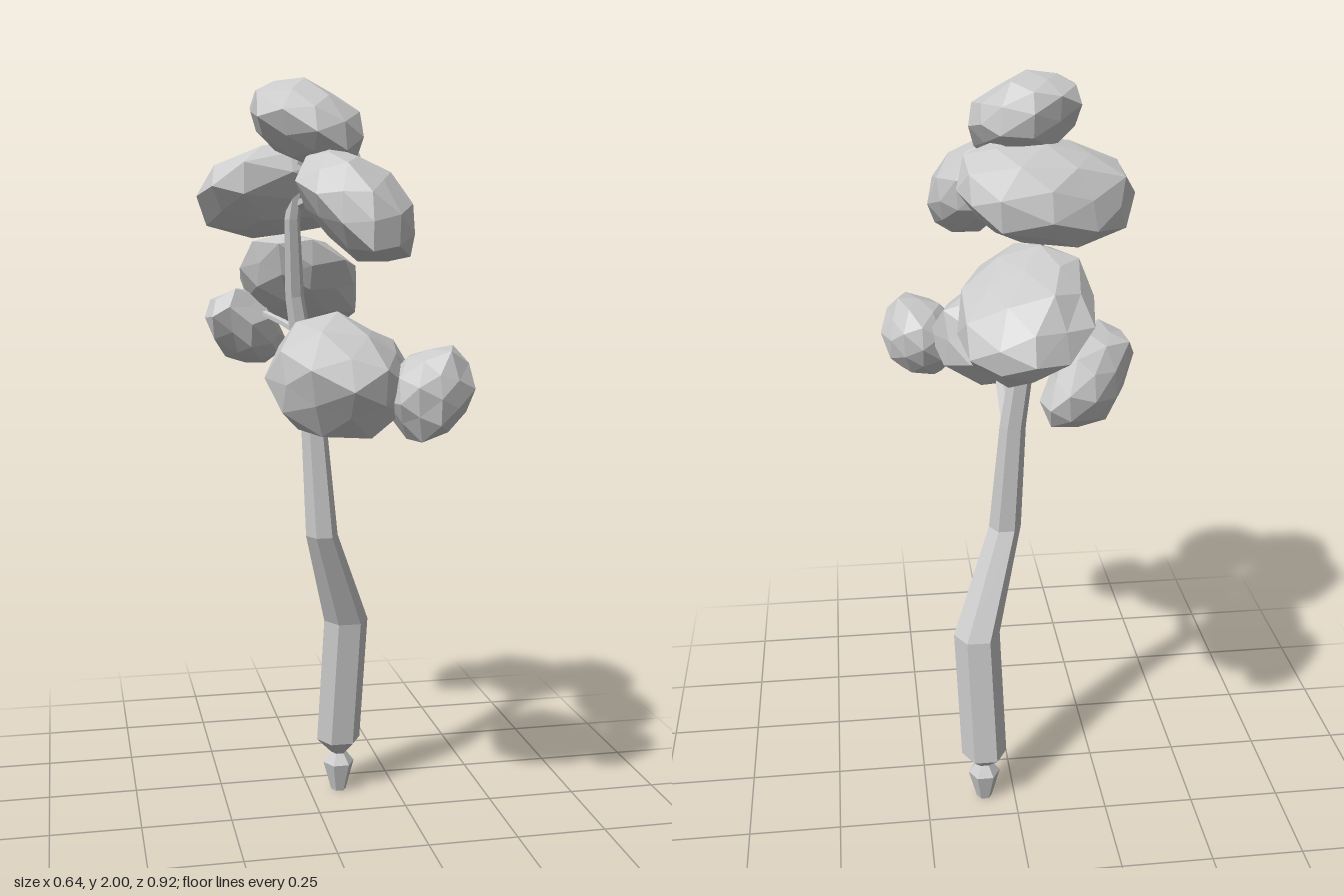
import * as THREE from 'three';

const material = new THREE.MeshStandardMaterial({ color: 0xcccccc, flatShading: true });

// Repeatable roughness that depends only on the corner's direction
function rough(x, y, z, seed) {
  const s = Math.sin(x * 12.9 + y * 78.2 + z * 37.7 + seed * 4.1) * 437.58;
  return 0.88 + 0.2 * (s - Math.floor(s));
}

// Faceted leaf clump, sheared and fitted into the box min..max
function clump(name, seed, min, max, { yx = 0, yz = 0, zx = 0 } = {}) {
  const geo = new THREE.IcosahedronGeometry(1, 1);
  const p = geo.attributes.position;
  for (let i = 0; i < p.count; i++) {
    const v = [p.getX(i), p.getY(i), p.getZ(i)].map((c) => Math.round(c * 1000) / 1000);
    const r = rough(...v, seed);
    const [x, y, z] = v.map((c) => c * r);
    p.setXYZ(i, x, y + yx * x + yz * z, z + zx * x);
  }
  geo.computeBoundingBox();
  const b = geo.boundingBox;
  const lo = new THREE.Vector3(...min), size = new THREE.Vector3(...max).sub(lo);
  const scale = size.divide(b.getSize(new THREE.Vector3()));
  geo.translate(-b.min.x, -b.min.y, -b.min.z);
  geo.scale(scale.x, scale.y, scale.z);
  geo.translate(lo.x, lo.y, lo.z);
  geo.computeVertexNormals();
  const mesh = new THREE.Mesh(geo, material);
  mesh.name = name;
  return mesh;
}

// Limb skinned over rings [x, y, z, radius] facing one axis, closed at both ends
function limb(name, rings, sides, axis = 'y') {
  const pos = [], index = [];
  for (const [x, y, z, r] of rings) {
    for (let i = 0; i < sides; i++) {
      const a = (i / sides) * Math.PI * 2;
      const c = r * Math.cos(a), s = r * Math.sin(a);
      if (axis === 'y') pos.push(x + c, y, z - s);
      else pos.push(x + c, y + s, z);
    }
  }
  for (let k = 0; k < rings.length - 1; k++) {
    for (let i = 0; i < sides; i++) {
      const a = k * sides + i, b = k * sides + ((i + 1) % sides);
      index.push(a, b, b + sides, a, b + sides, a + sides);
    }
  }
  const last = (rings.length - 1) * sides;
  for (let i = 1; i < sides - 1; i++) {
    index.push(0, i + 1, i, last, last + i, last + i + 1);
  }
  const geo = new THREE.BufferGeometry();
  geo.setAttribute('position', new THREE.Float32BufferAttribute(pos, 3));
  geo.setIndex(index);
  geo.computeVertexNormals();
  const mesh = new THREE.Mesh(geo, material);
  mesh.name = name;
  return mesh;
}

export function createModel() {
  const tree = new THREE.Group();
  tree.name = 'tree';

  // Bent, tapering trunk with a narrow pointed root below
  tree.add(limb('trunk', [
    [0.086, 0, -0.155, 0.022],
    [0.086, 0.085, -0.155, 0.045],
    [0.086, 0.115, -0.155, 0.022],
    [0.086, 0.155, -0.16, 0.063],
    [0.1, 0.525, -0.125, 0.063],
    [0.01, 0.8, -0.022, 0.044],
    [-0.01, 1.1, -0.03, 0.035],
    [-0.03, 1.25, -0.035, 0.032],
    [-0.065, 1.45, -0.012, 0.025],
    [-0.08, 1.65, 0.04, 0.02],
    [-0.06, 1.84, 0.08, 0.014],
  ], 6));

  // Branches running forward to the lower and upper front clumps
  tree.add(limb('frontBranch', [
    [-0.01, 1.11, -0.02, 0.03], [0, 1.17, 0.07, 0.022], [0, 1.24, 0.2, 0.016],
  ], 5, 'z'));
  tree.add(limb('upperBranch', [
    [-0.08, 1.68, 0.04, 0.014], [-0.03, 1.71, 0.1, 0.012], [0.02, 1.7, 0.22, 0.01],
  ], 5, 'z'));

  // Thin, curling branches to the back clumps
  tree.add(limb('backBranch', [
    [0, 1.43, -0.2, 0.011], [-0.02, 1.37, -0.155, 0.012],
    [-0.03, 1.345, -0.1, 0.014], [-0.04, 1.355, -0.03, 0.018],
  ], 5, 'z'));
  tree.add(limb('backTwig', [
    [-0.11, 1.39, -0.24, 0.009], [-0.07, 1.37, -0.16, 0.01], [-0.03, 1.345, -0.09, 0.013],
  ], 5, 'z'));

  // Leaf clumps
  tree.add(
    clump('crownClump', 1, [-0.19, 1.775, -0.09], [0.09, 2, 0.25], { yx: -0.25, yz: -0.3 }),
    clump('upperBackClump', 2, [-0.32, 1.6, -0.195], [0.135, 1.855, 0.1], { yx: 0.15, yz: 0.35, zx: -0.25 }),
    clump('upperFrontClump', 3, [-0.11, 1.55, 0.07], [0.185, 1.83, 0.43], { yx: -0.45, yz: -0.3 }),
    clump('lowerFrontClump', 4, [-0.185, 1.12, 0.06], [0.19, 1.43, 0.455], { yz: -0.1, zx: 0.05 }),
    clump('lowerSideClump', 5, [0.1, 1.12, 0.21], [0.32, 1.35, 0.455], { yx: 0.15, zx: -0.1 }),
    clump('backClump', 6, [-0.18, 1.335, -0.45], [0.15, 1.615, -0.035], { yx: -0.35, yz: 0.5 }),
    clump('lowerBackClump', 7, [-0.275, 1.24, -0.46], [-0.03, 1.46, -0.19], { yx: -0.3, yz: 0.15, zx: -0.45 }),
  );
  return tree;
}
